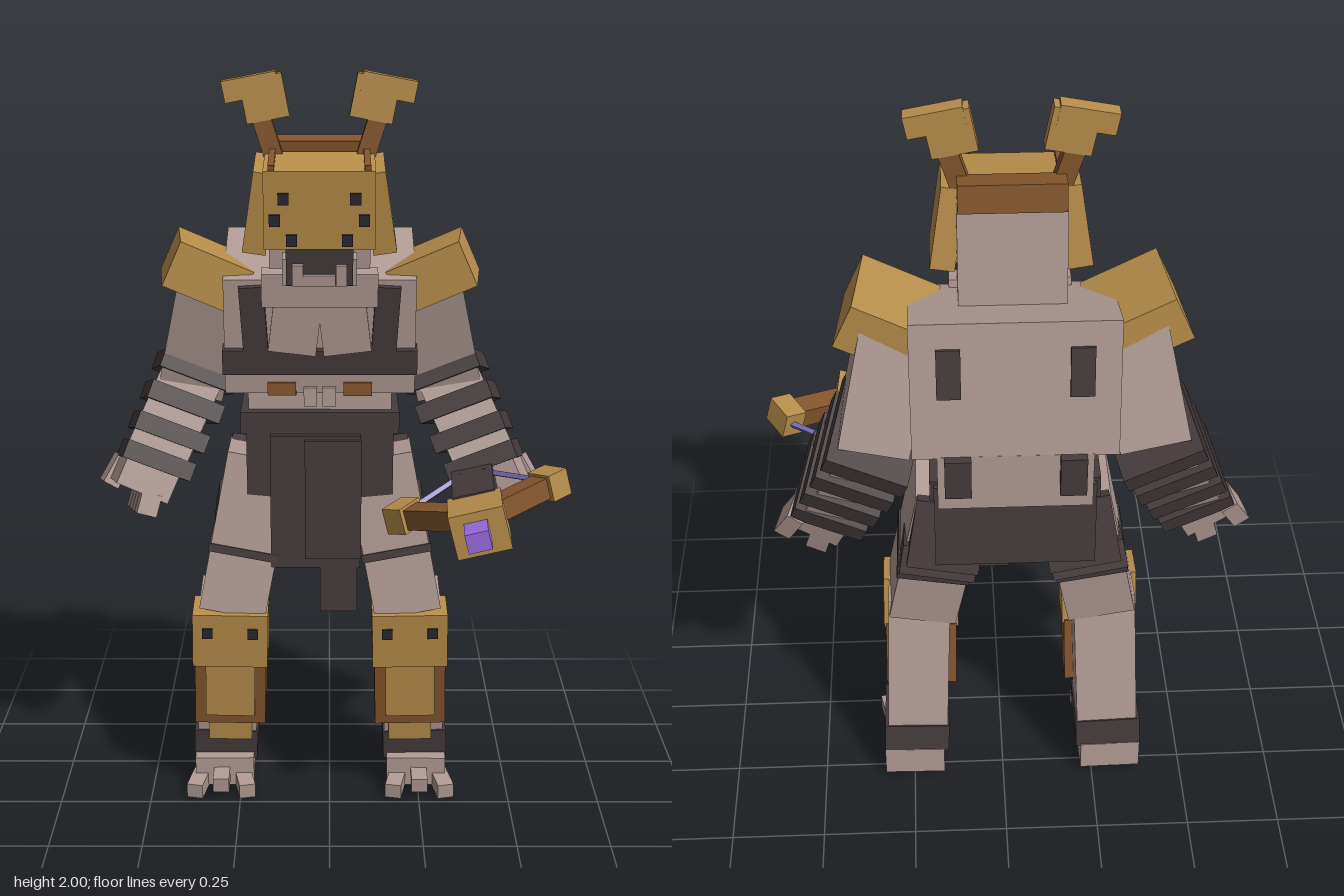
import * as THREE from 'three';

const mat = (name, color) => {
  const m = new THREE.MeshStandardMaterial({ color });
  m.name = name;
  return m;
};

export function createModel() {
  const skin = mat('ashen skin', 0xb29b95);
  const gold = mat('gold armour', 0xb98f4b);
  const brown = mat('brown leather', 0x85562d);
  const dark = mat('dark cloth', 0x463b3c);
  const purple = mat('purple crystal', 0x9c6be0);
  const violet = mat('violet string', 0x7868b2);
  const black = mat('eye black', 0x2c2933);

  const root = new THREE.Group();
  root.name = 'armouredArcher';

  const group = (parent, name, p, r = [0, 0, 0]) => {
    const g = new THREE.Group();
    g.name = name;
    g.position.set(...p);
    g.rotation.set(...r);
    parent.add(g);
    return g;
  };
  const box = (parent, name, m, size, p, r = [0, 0, 0]) => {
    const b = new THREE.Mesh(new THREE.BoxGeometry(...size), m);
    b.name = name;
    b.position.set(...p);
    b.rotation.set(...r);
    parent.add(b);
    return b;
  };
  // A box whose height runs from point a to point b
  const limb = (parent, name, m, a, b, w, d) => {
    const A = new THREE.Vector3(...a), B = new THREE.Vector3(...b);
    const dir = B.clone().sub(A);
    const mesh = box(parent, name, m, [w, dir.length(), d], A.clone().add(B).multiplyScalar(0.5).toArray());
    const up = dir.y < 0 ? dir.negate() : dir;
    mesh.quaternion.setFromUnitVectors(new THREE.Vector3(0, 1, 0), up.normalize());
    return mesh;
  };
  const mix = (a, b, t) => a.map((v, i) => v + (b[i] - v) * t);

  const body = group(root, 'body', [-0.026, 0, 0]);

  // Torso, leaning forward, with the top falling towards the front
  const torso = group(body, 'torso', [0, 1.35, -0.2], [0.13, 0, 0]);
  const chest = box(torso, 'chest', skin, [0.5, 0.36, 0.31], [0, 0.015, 0]);
  const pos = chest.geometry.attributes.position;
  for (let i = 0; i < pos.count; i++)
    if (pos.getY(i) > 0 && pos.getZ(i) > 0) pos.setY(i, pos.getY(i) - 0.045);
  chest.geometry.computeVertexNormals();
  box(torso, 'collar', skin, [0.3, 0.09, 0.06], [0, 0.13, 0.155]);
  box(torso, 'chestBand', dark, [0.51, 0.068, 0.07], [0, -0.072, 0.14]);

  // Hips, belt and cloth
  box(body, 'waist', skin, [0.46, 0.05, 0.24], [0, 1.205, -0.205]);
  box(body, 'abdomen', skin, [0.38, 0.16, 0.3], [0, 1.13, -0.225]);
  box(body, 'belt', dark, [0.42, 0.06, 0.31], [0, 1.09, -0.2]);
  box(body, 'hips', dark, [0.39, 0.19, 0.29], [0, 0.975, -0.19]);
  box(body, 'backCloth', dark, [0.4, 0.24, 0.05], [0, 0.99, -0.35], [0.05, 0, 0]);
  box(body, 'frontCloth', dark, [0.24, 0.37, 0.03], [-0.012, 0.875, -0.04]);
  box(body, 'frontClothOverlap', dark, [0.15, 0.33, 0.02], [0.035, 0.885, -0.02]);
  box(body, 'clothTail', dark, [0.1, 0.17, 0.025], [0.05, 0.65, -0.035]);

  // Head, mask and jaw
  const head = group(body, 'head', [0, 1.68, -0.04], [0.13, 0, 0]);
  box(head, 'skull', skin, [0.26, 0.27, 0.16], [0, -0.07, -0.058]);
  box(head, 'mask', gold, [0.28, 0.2, 0.19], [0, 0.01, 0.025]);
  box(head, 'topBand', brown, [0.255, 0.07, 0.07], [0, 0.1, -0.11]);
  box(head, 'mouth', dark, [0.17, 0.105, 0.1], [0, -0.137, 0.06]);
  box(head, 'jaw', skin, [0.19, 0.07, 0.12], [0, -0.165, 0.02]);
  box(head, 'chin', skin, [0.08, 0.03, 0.03], [0, -0.175, 0.105]);

  for (const s of [-1, 1]) {
    // Chest and back details
    box(torso, 'pectoral', skin, [0.125, 0.15, 0.04], [s * 0.064, 0.03, 0.16], [0, 0, s * 0.12]);
    box(torso, 'frontStrap', dark, [0.065, 0.18, 0.04], [s * 0.172, 0.045, 0.155], [0, 0, -s * 0.06]);
    box(torso, 'backStrap', dark, [0.058, 0.13, 0.02], [s * 0.158, 0.065, -0.153]);
    box(body, 'lowerBackStrap', dark, [0.065, 0.11, 0.03], [s * 0.14, 1.155, -0.383]);
    box(body, 'waistPlate', brown, [0.075, 0.035, 0.03], [s * 0.1, 1.18, -0.07]);
    box(body, 'bellyPlate', skin, [0.035, 0.05, 0.03], [s * 0.025, 1.16, -0.065]);

    // Mask flaps, eyes, tusks and horns
    box(head, 'maskFlap', gold, [0.06, 0.21, 0.19], [s * 0.15, -0.002, 0.015], [0, 0, s * 0.15]);
    box(head, 'maskTrim', brown, [0.016, 0.02, 0.19], [s * 0.12, 0.113, 0.02]);
    for (const [x, y] of [[0.09, 0.04], [0.112, -0.015], [0.07, -0.067]])
      box(head, 'eye', black, [0.028, 0.03, 0.008], [s * x, y, 0.122]);
    box(head, 'tusk', skin, [0.028, 0.055, 0.025], [s * 0.055, -0.16, 0.11]);
    limb(body, 'hornStem', brown, [s * 0.115, 1.78, -0.087], [s * 0.165, 1.94, -0.087], 0.048, 0.038);
    box(body, 'hornTip', gold, [0.14, 0.055, 0.044], [s * 0.175, 1.962, -0.087], [0, 0, -s * 0.19]);
    box(body, 'hornPlate', gold, [0.11, 0.11, 0.042], [s * 0.14, 1.934, -0.087], [0, 0, -s * 0.19]);

    // Shoulder pad
    box(body, 'shoulderPad', gold, [0.205, 0.125, 0.23], [s * 0.3, 1.477, -0.158], [0, -s * 0.1, s * 0.42]);

    // Arm with wrapped forearm
    const elbow = [s * 0.338, 1.19, -0.235], wrist = [s * 0.45, 0.95, -0.155];
    limb(body, 'upperArm', skin, [s * 0.28, 1.47, -0.16], [s * 0.345, 1.17, -0.23], 0.175, 0.22);
    limb(body, 'forearm', skin, elbow, wrist, 0.165, 0.22);
    [0.04, 0.36, 0.68, 0.98].forEach((t, i) =>
      box(body, 'armWrap', dark, [0.21 - i * 0.006, 0.05, 0.28 - i * 0.012], mix(elbow, wrist, t),
        [-0.28, -s * 0.18, s * 0.36]));

    // Hand
    const hand = group(body, 'hand', [s * 0.478, 0.92, -0.16], [-0.2, -s * 0.25, s * 0.42]);
    box(hand, 'palm', skin, [0.15, 0.11, 0.18], [0, 0, 0]);
    for (let i = 0; i < 4; i++)
      box(hand, 'finger', skin, [0.055, 0.06, 0.04], [-s * 0.03, -0.075, -0.07 + i * 0.047], [0, 0, -s * 0.15]);
    box(hand, 'thumb', skin, [0.045, 0.085, 0.08], [s * 0.062, -0.03, -0.075], [0, 0, s * 0.1]);

    // Leg
    const hip = [s * 0.158, 0.98, -0.165], knee = [s * 0.24, 0.55, -0.12];
    limb(body, 'thigh', skin, hip, knee, 0.18, 0.22);
    limb(body, 'thighBand', dark, mix(hip, knee, 0.58), mix(hip, knee, 0.63), 0.19, 0.23);
    box(body, 'hipWrap', dark, [0.185, 0.19, 0.17], [s * 0.168, 0.87, -0.22], [0.25, 0, s * 0.17]);
    box(body, 'hipWrapHem', dark, [0.195, 0.08, 0.17], [s * 0.192, 0.78, -0.222], [0.3, 0, s * 0.17]);
    limb(body, 'calf', skin, [s * 0.248, 0.58, -0.13], [s * 0.265, 0.12, -0.205], 0.165, 0.175);
    limb(body, 'ankleWrap', dark, [s * 0.265, 0.18, -0.195], [s * 0.268, 0.095, -0.205], 0.178, 0.185);

    // Knee and shin armour
    const guard = group(body, 'shinArmour', [s * 0.245, 0.49, -0.06], [0.13, 0, s * 0.02]);
    box(guard, 'kneePlate', gold, [0.205, 0.16, 0.11], [0, 0, 0]);
    box(guard, 'shinSide', brown, [0.195, 0.2, 0.1], [0, -0.17, -0.01]);
    box(guard, 'shinPlate', gold, [0.135, 0.17, 0.05], [0, -0.155, 0.025]);
    box(guard, 'shinFoot', gold, [0.12, 0.07, 0.04], [0, -0.295, 0.01]);
    for (const e of [-1, 1])
      box(guard, 'kneeRivet', black, [0.028, 0.03, 0.008], [e * 0.062, 0.025, 0.057]);

    // Foot
    box(body, 'foot', skin, [0.165, 0.085, 0.22], [s * 0.272, 0.06, -0.19], [0.05, -s * 0.02, 0]);
    for (const e of [-1, 0, 1])
      box(body, 'toe', skin, [0.045, 0.042, 0.09], [s * 0.278 + e * 0.065, e ? 0.027 : 0.045, -0.065], [0.1, e * 0.2, 0]);
  }

  // Crossbow held in the left hand
  const bow = group(root, 'crossbow', [0.378, 0.908, 0.24], [0, -0.05, 0.25]);
  box(bow, 'stock', dark, [0.11, 0.1, 0.36], [0, 0.012, -0.24]);
  box(bow, 'bowHead', gold, [0.14, 0.115, 0.15], [0, 0, 0]);
  box(bow, 'crystal', purple, [0.06, 0.05, 0.09], [-0.005, 0.008, 0.115]);
  for (const s of [-1, 1]) {
    const arm = group(bow, 'bowArm', [s * 0.05, 0.022, -0.02], [0, s * 0.65, 0]);
    box(arm, 'bowLimb', brown, [0.18, 0.055, 0.06], [s * 0.085, 0, 0]);
    box(arm, 'bowTip', gold, [0.06, 0.07, 0.085], [s * 0.18, 0, 0]);
    limb(bow, 'bowString', violet, [s * 0.18, 0.022, -0.16], [s * 0.03, 0.055, -0.25], 0.013, 0.013);
  }
  return root;
}
